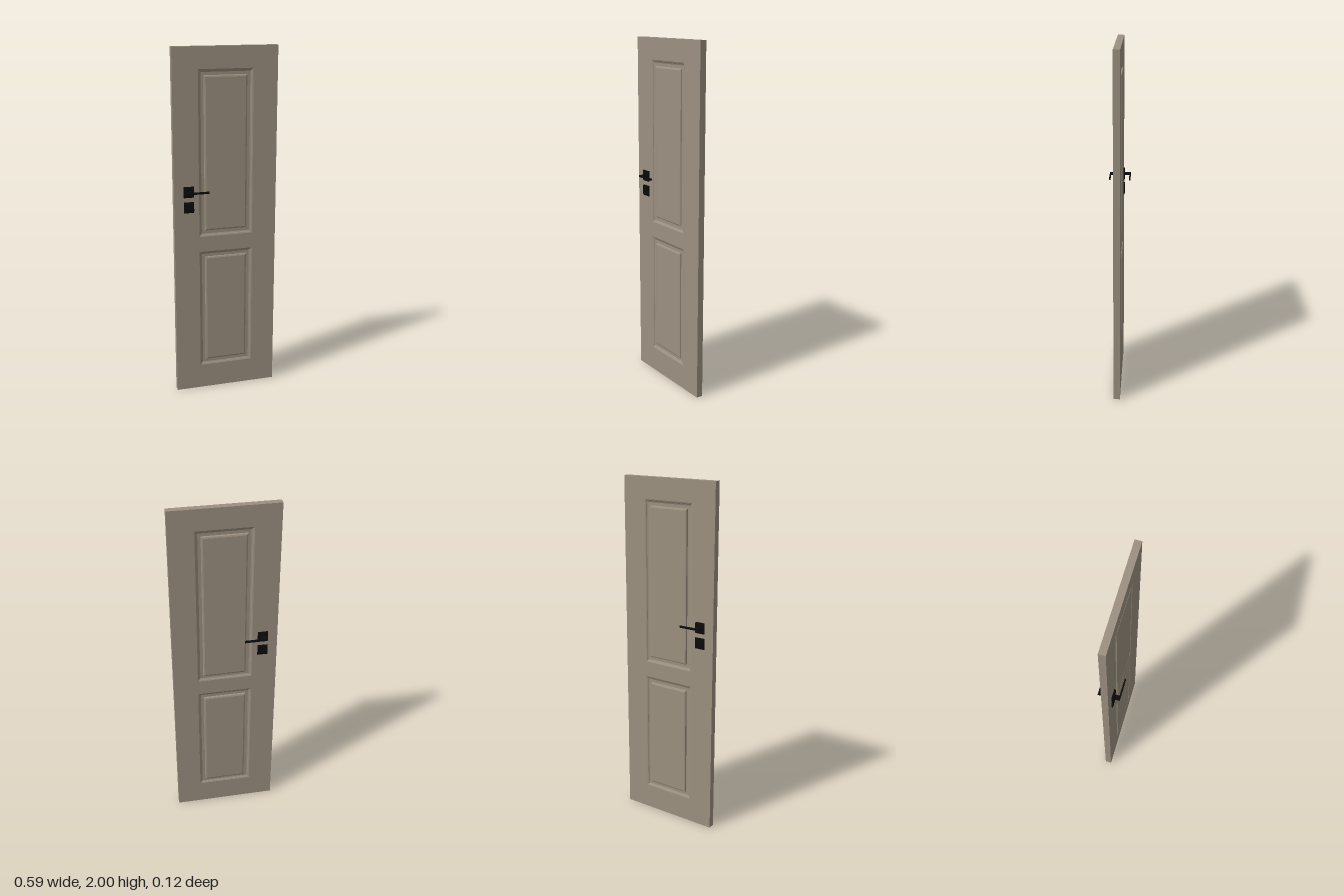
import * as THREE from 'three';

const W = 0.594, H = 2, FRONT = 0.017, BACK = -0.02;
const CX = 0.0015, PANEL_W = 0.312;
// the two panel openings: [bottom, top]
const OPENINGS = [['lowerPanel', 0.145, 0.855], ['upperPanel', 0.945, 1.88]];

// Moulded panel made of nested rectangles; profile rows are [inset, depth]
function panelGeometry(w, h, profile) {
  const pos = [];
  const ring = ([inset, z]) => {
    const x = w / 2 - inset, y = h / 2 - inset;
    return [[-x, -y, z], [x, -y, z], [x, y, z], [-x, y, z]];
  };
  const quad = (a, b, c, d) => pos.push(...a, ...b, ...c, ...a, ...c, ...d);
  const rings = profile.map(ring);
  for (let i = 0; i < rings.length - 1; i++) {
    const o = rings[i], n = rings[i + 1];
    for (let k = 0; k < 4; k++) {
      const j = (k + 1) % 4;
      quad(o[k], o[j], n[j], n[k]);
    }
  }
  quad(...rings[rings.length - 1]);
  const g = new THREE.BufferGeometry();
  g.setAttribute('position', new THREE.Float32BufferAttribute(pos, 3));
  g.computeVertexNormals();
  return g;
}

export function createModel() {
  const group = new THREE.Group();
  const paint = new THREE.MeshStandardMaterial({ name: 'taupePaint', color: 0x9c9080 });
  const black = new THREE.MeshStandardMaterial({ name: 'blackMetal', color: 0x0b0b0b });

  const add = (parent, name, geo, mat, x = 0, y = 0, z = 0) => {
    const m = new THREE.Mesh(geo, mat);
    m.name = name;
    m.position.set(x, y, z);
    parent.add(m);
    return m;
  };

  // Door frame with two openings
  const rect = (path, x0, y0, x1, y1) =>
    path.moveTo(x0, y0).lineTo(x1, y0).lineTo(x1, y1).lineTo(x0, y1).closePath();
  const outline = new THREE.Shape();
  rect(outline, -W / 2, 0, W / 2, H);
  for (const [, y0, y1] of OPENINGS) {
    const hole = new THREE.Path();
    rect(hole, CX - PANEL_W / 2, y0, CX + PANEL_W / 2, y1);
    outline.holes.push(hole);
  }
  add(group, 'doorFrame',
    new THREE.ExtrudeGeometry(outline, { depth: FRONT - BACK, bevelEnabled: false }),
    paint, 0, 0, BACK);

  // Raised panels with a moulded border on both faces
  for (const [name, y0, y1] of OPENINGS) {
    for (const side of [1, -1]) {
      const field = side > 0 ? 0 : 0.0035;
      const profile = [[0, 0], [0.007, -0.003], [0.009, -0.006], [0.016, -0.009],
        [0.033, -0.009], [0.035, field - 0.003], [0.043, field]];
      const m = add(group, name + (side > 0 ? 'Front' : 'Back'),
        panelGeometry(PANEL_W, y1 - y0, profile), paint,
        CX, (y0 + y1) / 2, side > 0 ? FRONT : BACK);
      if (side < 0) m.rotation.y = Math.PI;
    }
  }

  // Handle sets: two plates, a neck and a lever on each face
  const plateShape = new THREE.Shape();
  plateShape.moveTo(0, -0.031).lineTo(0.005, -0.031).lineTo(0.0085, -0.021)
    .lineTo(0.0085, 0.021).lineTo(0.005, 0.031).lineTo(0, 0.031).closePath();
  for (const side of [1, -1]) {
    const handle = new THREE.Group();
    handle.name = side > 0 ? 'frontHandle' : 'backHandle';
    const z = side > 0 ? FRONT : BACK;
    for (const [name, y] of [['handlePlate', 1.21], ['keyPlate', 1.122]]) {
      const geo = new THREE.ExtrudeGeometry(plateShape, { depth: 0.057, bevelEnabled: false });
      geo.translate(0, 0, -0.0285);
      const plate = add(handle, name, geo, black, -0.2135, y, z);
      plate.rotation.y = -side * Math.PI / 2;
    }
    add(handle, 'neck', new THREE.BoxGeometry(0.025, 0.011, 0.043), black,
      -0.2175, 1.21, z + side * 0.0215);
    add(handle, 'lever', new THREE.BoxGeometry(0.125, 0.011, 0.008), black,
      -0.1675, 1.21, z + side * 0.039);
    group.add(handle);
  }
  return group;
}
